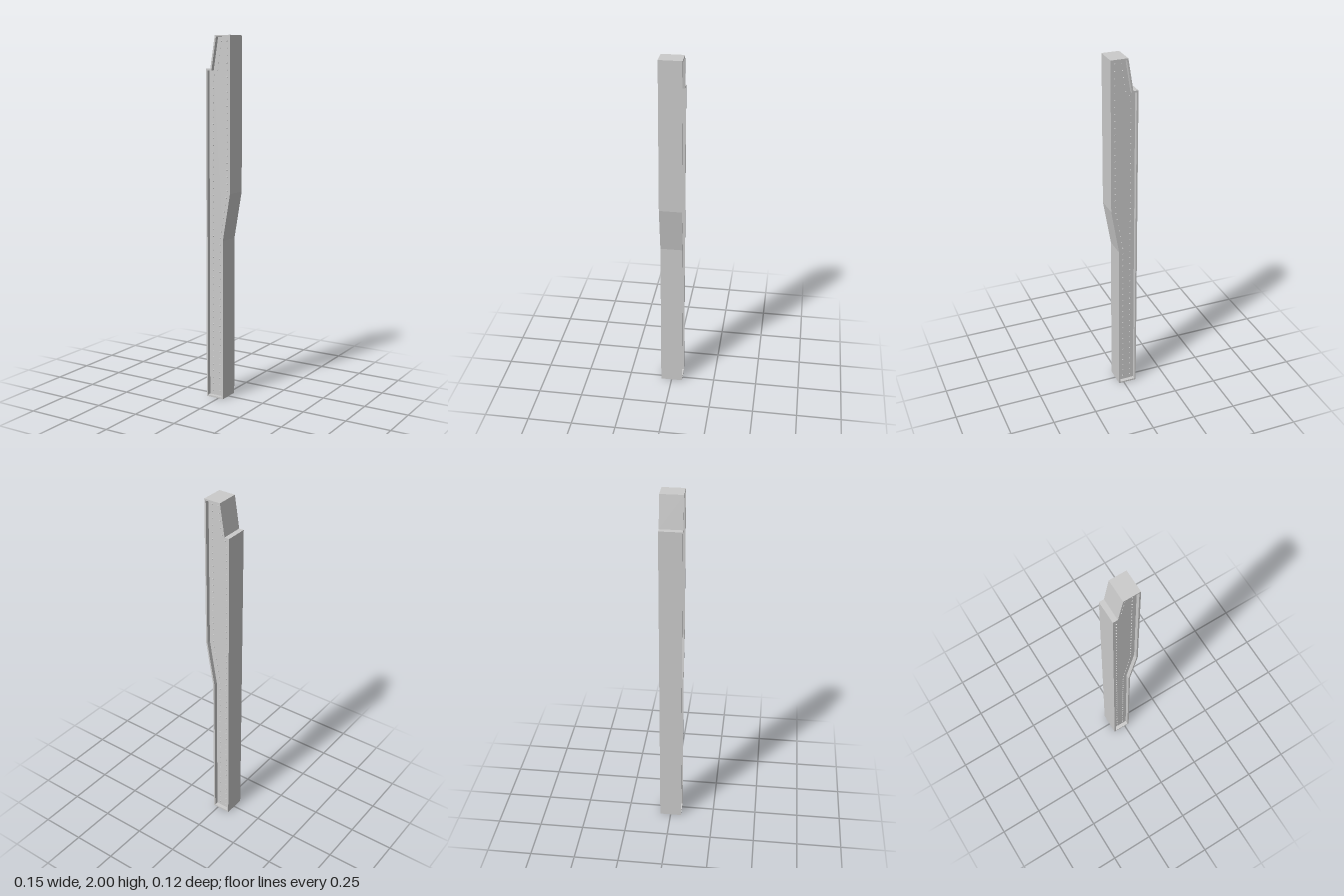
import * as THREE from 'three';

const DEPTH = 0.124, FLANGE = 0.009, RECESS = 0.022;

// Column outline, anticlockwise from the bottom left
const OUTLINE = [
  [-0.076, 0], [0.03, 0], [0.03, 0.9], [0.075, 1.16],
  [0.075, 2], [-0.02, 2], [-0.048, 1.825], [-0.076, 1.825],
].map(([x, y]) => new THREE.Vector2(x, y));

// Moves every edge of a closed outline inwards by d
function inset(points, d) {
  const n = points.length;
  return points.map((p, i) => {
    const a = p.clone().sub(points[(i + n - 1) % n]).normalize();
    const b = points[(i + 1) % n].clone().sub(p).normalize();
    const na = new THREE.Vector2(-a.y, a.x), nb = new THREE.Vector2(-b.y, b.x);
    const k = d / (1 + na.dot(nb));
    return p.clone().add(na.add(nb).multiplyScalar(k));
  });
}

// Extrusion centred on z = 0
function plate(shape, depth) {
  return new THREE.ExtrudeGeometry(shape, { depth, bevelEnabled: false })
    .translate(0, 0, -depth / 2);
}

export function createModel() {
  const group = new THREE.Group();
  const material = new THREE.MeshStandardMaterial({ color: 0xcccccc, flatShading: true });
  const add = (name, geometry, parent = group) => {
    const mesh = new THREE.Mesh(geometry, material);
    mesh.name = name;
    parent.add(mesh);
    return mesh;
  };

  // Flange running round the whole edge
  const inner = inset(OUTLINE, FLANGE);
  const rim = new THREE.Shape(OUTLINE);
  rim.holes.push(new THREE.Path(inner));
  add('flange', plate(rim, DEPTH));

  // Recessed web
  const webDepth = DEPTH - 2 * RECESS;
  add('web', plate(new THREE.Shape(inner), webDepth));

  // Rivet rows following both long edges, on both faces
  const rivets = new THREE.Group();
  rivets.name = 'rivets';
  group.add(rivets);
  const head = new THREE.CylinderGeometry(0.0025, 0.004, 0.004, 8).rotateX(Math.PI / 2);
  const rows = [
    [[-0.044, 0.035], [-0.044, 1.79], [-0.018, 1.8], [0.008, 1.97]],
    [[-0.002, 0.035], [-0.002, 0.9], [0.043, 1.16], [0.043, 1.97]],
  ];
  for (const row of rows) {
    const path = new THREE.CurvePath();
    for (let i = 1; i < row.length; i++) {
      path.add(new THREE.LineCurve(new THREE.Vector2(...row[i - 1]), new THREE.Vector2(...row[i])));
    }
    const count = Math.round(path.getLength() / 0.038);
    for (let i = 0; i <= count; i++) {
      const p = path.getPoint(i / count);
      for (const side of [1, -1]) {
        const rivet = add('rivet', head, rivets);
        rivet.position.set(p.x, p.y, side * (webDepth / 2 + 0.0015));
        if (side < 0) rivet.rotation.y = Math.PI;
      }
    }
  }
  return group;
}
